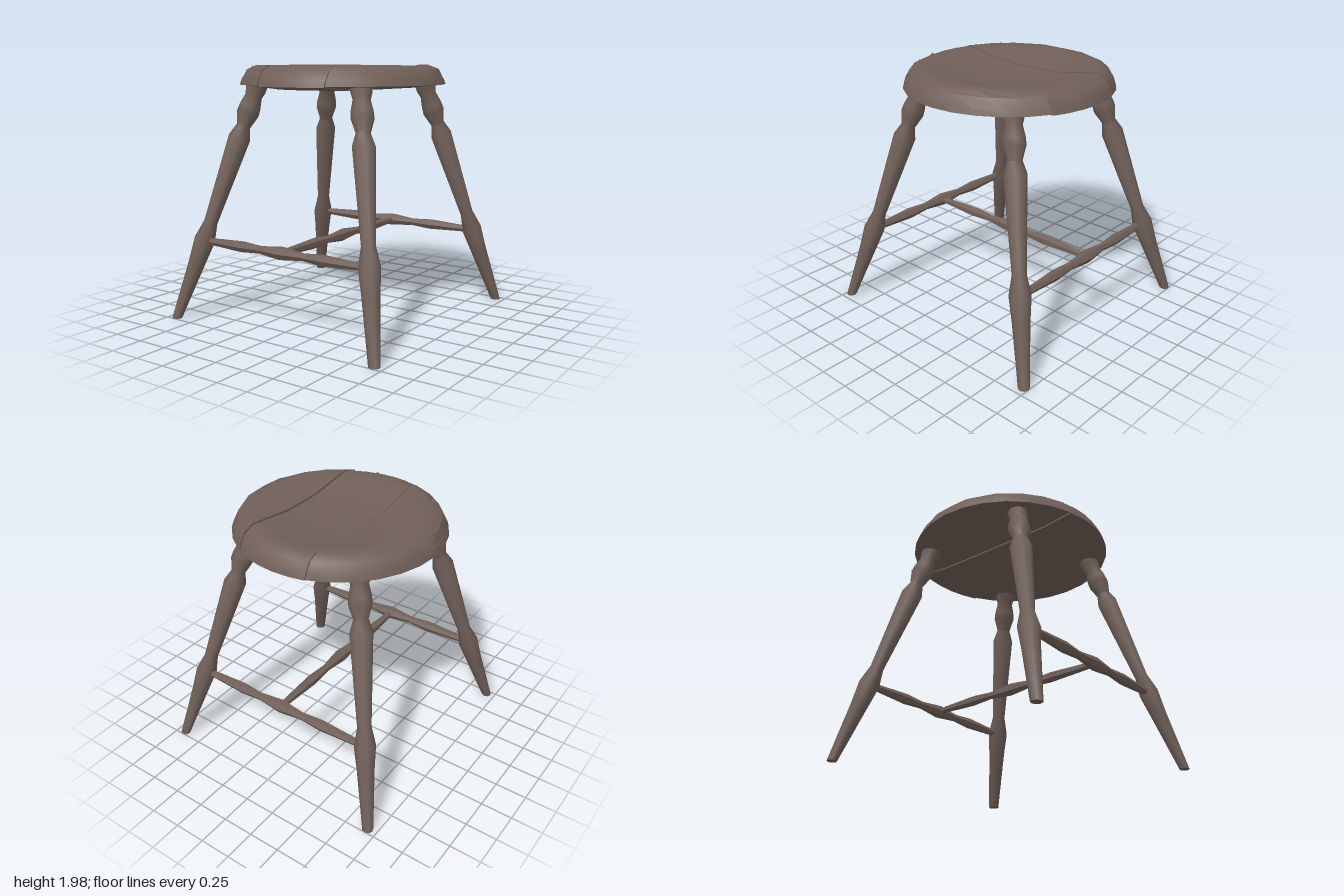
import * as THREE from 'three';
import { toCreasedNormals } from 'three/addons/utils/BufferGeometryUtils.js';

const wood = new THREE.MeshStandardMaterial({ color: 0x705f58 });
wood.name = 'brown wood';

// Seat profile as [radius, height]
const TOP = [[0, 1.9], [0.2, 1.905], [0.4, 1.925], [0.57, 1.962], [0.68, 1.978], [0.755, 1.945], [0.795, 1.875], [0.81, 1.83]];
const BOTTOM = [[0, 1.797], [0.57, 1.802], [0.81, 1.83]];

function heightAt(table, r) {
  for (let i = 1; i < table.length; i++) {
    const [r0, y0] = table[i - 1], [r1, y1] = table[i];
    if (r <= r1) return y0 + ((y1 - y0) * (r - r0)) / (r1 - r0);
  }
  return table[table.length - 1][1];
}

// The two saw cuts run slightly askew across the seat
const CUTS = [{ x: -0.235, skew: 0.026 }, { x: 0.357, skew: -0.007 }];
const skewAt = (x) => CUTS.reduce((s, c) => s + c.skew * Math.max(0, 1 - Math.abs(x - c.x) / 0.5), 0);

// One closed cross-section of the seat at station x: over the top, back along the bottom
function seatSection(x, lift) {
  const radii = TOP.map((p) => p[0]);
  const steps = [...radii.slice(1).reverse().map((r) => [r, -1]), ...radii.map((r) => [r, 1])];
  const make = (table) => steps.map(([r, side]) => {
    const z = side * Math.sqrt(Math.max(0, r * r - x * x));
    return new THREE.Vector3(x + skewAt(x) * z, heightAt(table, Math.max(r, Math.abs(x))) + lift, z);
  });
  return [...make(TOP), ...make(BOTTOM).reverse()];
}

function plank(name, stations, lift) {
  const loops = stations.map((x) => seatSection(x, lift));
  const n = loops[0].length, out = [];
  const tri = (a, b, c) => {
    const area = new THREE.Vector3().subVectors(b, a).cross(new THREE.Vector3().subVectors(c, a)).length();
    if (area > 1e-7) out.push(...a.toArray(), ...b.toArray(), ...c.toArray());
  };
  const quad = (a, b, c, d) => { tri(a, b, c); tri(a, c, d); };
  for (let i = 0; i < loops.length - 1; i++) {
    for (let j = 0; j < n; j++) {
      const k = (j + 1) % n;
      quad(loops[i][j], loops[i][k], loops[i + 1][k], loops[i + 1][j]);
    }
  }
  // Flat sawn faces
  const first = loops[0], last = loops[loops.length - 1];
  for (let j = 0; j < n / 2 - 1; j++) {
    quad(last[j], last[j + 1], last[n - 2 - j], last[n - 1 - j]);
    quad(first[n - 1 - j], first[n - 2 - j], first[j + 1], first[j]);
  }
  const geo = new THREE.BufferGeometry();
  geo.setAttribute('position', new THREE.Float32BufferAttribute(out, 3));
  return part(name, toCreasedNormals(geo, 0.75));
}

function part(name, geo) {
  const mesh = new THREE.Mesh(geo, wood);
  mesh.name = name;
  return mesh;
}

// Turned spindle between two points; profile is [fraction of length, radius]
function spindle(name, from, to, profile, sides) {
  const dir = new THREE.Vector3().subVectors(to, from);
  const length = dir.length();
  const pts = profile.map(([t, r]) => new THREE.Vector2(r, t * length));
  pts.unshift(new THREE.Vector2(0, pts[0].y));
  pts.push(new THREE.Vector2(0, pts[pts.length - 1].y));
  const geo = new THREE.LatheGeometry(pts, sides);
  geo.applyQuaternion(new THREE.Quaternion().setFromUnitVectors(new THREE.Vector3(0, 1, 0), dir.normalize()));
  geo.translate(from.x, from.y, from.z);
  // Saw the feet level with the floor
  const p = geo.attributes.position;
  for (let i = 0; i < p.count; i++) p.setY(i, Math.max(0, p.getY(i)));
  return part(name, toCreasedNormals(geo, 0.95));
}

export function createModel() {
  const stool = new THREE.Group();
  stool.name = 'stool';

  // Seat of three planks
  const seat = new THREE.Group();
  seat.name = 'seat';
  const gap = 0.004, R = 0.81;
  const span = (a, b, count) => Array.from({ length: count + 1 }, (_, i) => {
    const t0 = Math.asin(a / R), t1 = Math.asin(b / R);
    return R * Math.sin(t0 + ((t1 - t0) * i) / count);
  });
  seat.add(
    plank('rightPlank', span(-R, CUTS[0].x - gap, 6), 0.002),
    plank('middlePlank', span(CUTS[0].x + gap, CUTS[1].x - gap, 5), -0.003),
    plank('leftPlank', span(CUTS[1].x + gap, R, 5), 0.005),
  );

  // Small splinters along the worn front edge
  for (const [x, z] of [[-0.48, 0.52], [-0.31, 0.64], [0.13, 0.7], [0.33, 0.64], [0.52, 0.52]]) {
    const chip = part('splinter', new THREE.ConeGeometry(0.032, 0.03, 4).toNonIndexed());
    chip.geometry.computeVertexNormals();
    chip.position.set(x, heightAt(TOP, Math.hypot(x, z)) - 0.003, z);
    chip.rotation.y = x * 3;
    seat.add(chip);
  }
  stool.add(seat);

  // Splayed turned legs, heights measured from the floor
  const legHeights = [[-0.02, 0.042], [0.44, 0.066], [0.62, 0.082], [0.76, 0.053], [1.42, 0.086], [1.51, 0.055],
    [1.61, 0.087], [1.665, 0.083], [1.74, 0.066], [1.79, 0.08], [1.85, 0.08]];
  const legProfile = legHeights.map(([y, r]) => [y / 1.82, r]);
  for (const [side, sx] of [['Left', 1], ['Right', -1]]) {
    for (const [end, sz] of [['front', 1], ['back', -1]]) {
      stool.add(spindle(`${end}${side}Leg`,
        new THREE.Vector3(0.922 * sx, 0, 0.957 * sz), new THREE.Vector3(0.485 * sx, 1.82, 0.465 * sz), legProfile, 8));
    }
  }

  // Stretchers in an H
  const half = [[-0.76, 0.025], [-0.38, 0.043], [-0.2, 0.03]];
  const bars = [...half, [0, 0.052], ...half.map(([t, r]) => [-t, r]).reverse()];
  const barProfile = bars.map(([t, r]) => [(t + 0.76) / 1.52, r]);
  const bar = (name, a, b) => stool.add(spindle(name, new THREE.Vector3(...a), new THREE.Vector3(...b), barProfile, 6));
  bar('frontStretcher', [-0.76, 0.615, 0.79], [0.76, 0.615, 0.79]);
  bar('backStretcher', [-0.76, 0.615, -0.79], [0.76, 0.615, -0.79]);
  bar('middleStretcher', [0, 0.615, -0.78], [0, 0.615, 0.78]);

  return stool;
}
